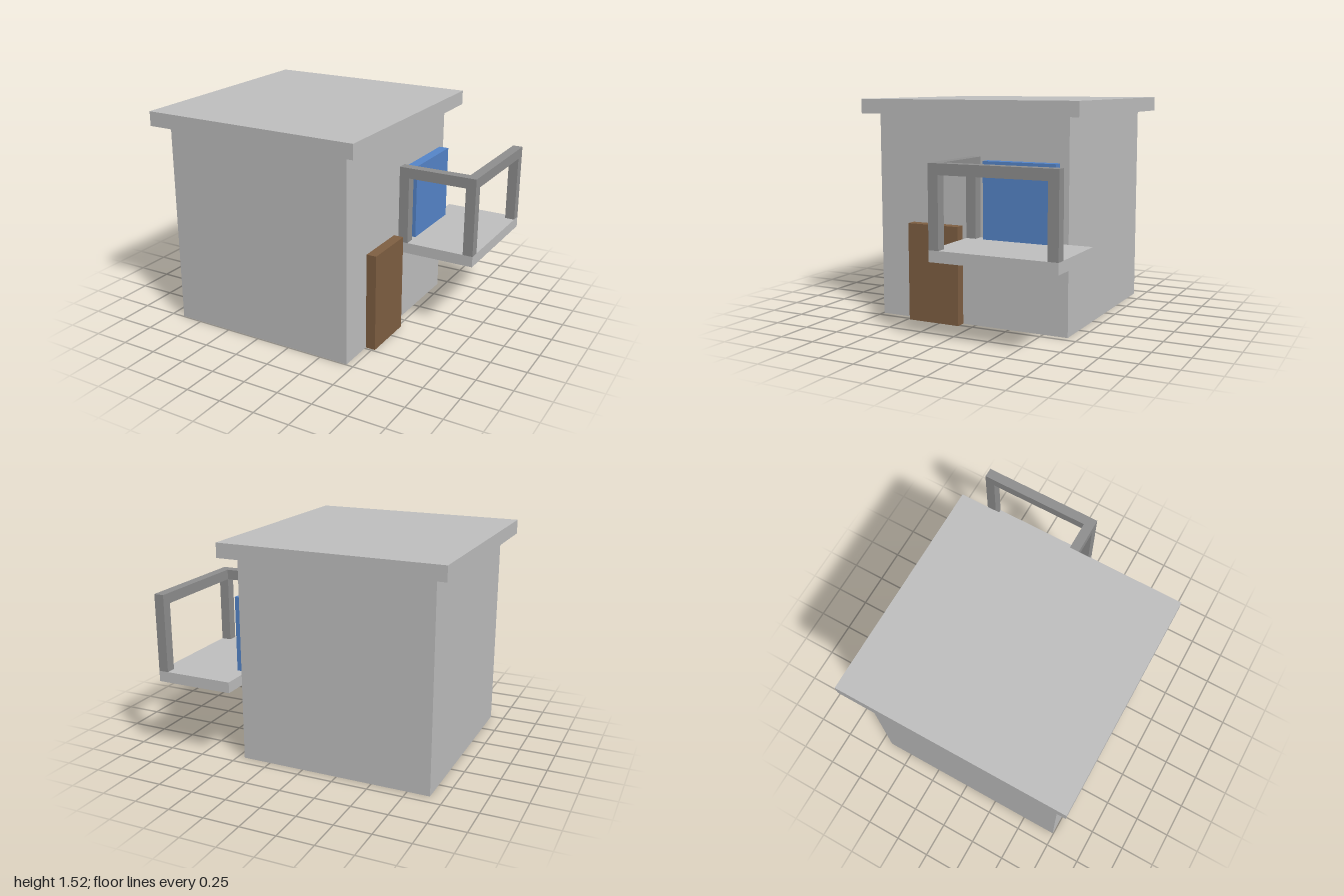
import * as THREE from 'three';

export function createModel() {
  const model = new THREE.Group();
  model.name = 'balconyHouse';

  const material = (name, color) => {
    const m = new THREE.MeshStandardMaterial({ color });
    m.name = name;
    return m;
  };
  const lightGrey = material('light grey', 0xbfbfbf);
  const darkGrey = material('dark grey', 0x8f8f8f);
  const brown = material('brown', 0x7f5f42);
  const blue = material('blue', 0x5585c9);

  // Box given by its extents along each axis
  const box = (name, mat, [x0, x1], [y0, y1], [z0, z1], parent = model) => {
    const mesh = new THREE.Mesh(new THREE.BoxGeometry(x1 - x0, y1 - y0, z1 - z0), mat);
    mesh.position.set((x0 + x1) / 2, (y0 + y1) / 2, (z0 + z1) / 2);
    mesh.name = name;
    parent.add(mesh);
  };

  // House
  const wall = 0.45, t = 0.07;
  box('walls', lightGrey, [-0.905, wall], [0, 1.425], [-0.675, 0.745]);
  box('roof', lightGrey, [-1, 0.545], [1.425, 1.525], [-0.775, 0.835]);
  box('door', brown, [wall, wall + t], [0, 0.68], [0.097, 0.485]);
  box('balconyDoor', blue, [wall, wall + t], [0.612, 1.13], [-0.612, -0.095]);

  // Balcony: slab, three posts and an L-shaped handrail
  const balcony = new THREE.Group();
  balcony.name = 'balcony';
  model.add(balcony);
  const floorY = 0.612, railY = 1.08, topY = 1.152;
  const outer = 1, front = 0.03, back = -0.84;
  box('balconyFloor', lightGrey, [wall, outer], [0.537, floorY], [back, front], balcony);
  const posts = [
    ['wallPost', wall, front - t],
    ['cornerPost', outer - t, front - t],
    ['backPost', outer - t, back],
  ];
  for (const [name, x, z] of posts) {
    box(name, darkGrey, [x, x + t], [floorY, railY], [z, z + t], balcony);
  }
  box('frontRail', darkGrey, [wall, outer - t], [railY, topY], [front - t, front], balcony);
  box('sideRail', darkGrey, [outer - t, outer], [railY, topY], [back, front], balcony);

  return model;
}
